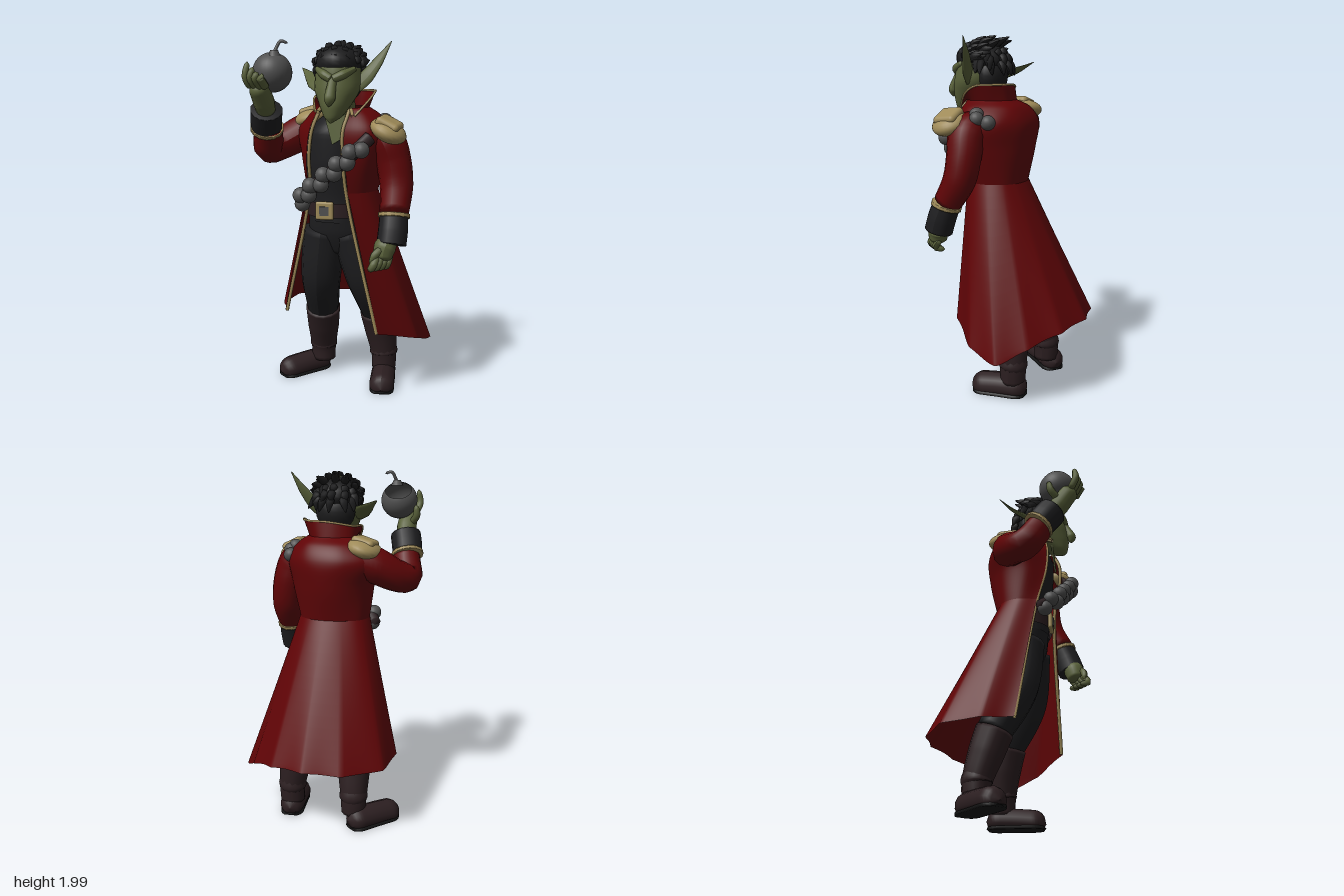
import * as THREE from 'three';
import { mergeVertices } from 'three/addons/utils/BufferGeometryUtils.js';
import { RoundedBoxGeometry } from 'three/addons/geometries/RoundedBoxGeometry.js';

const V = (a) => new THREE.Vector3(...a);
const spline = (pts) => new THREE.CatmullRomCurve3(pts.map(V));
const mat = (name, color) => {
  const m = new THREE.MeshStandardMaterial({ color, side: THREE.DoubleSide });
  m.name = name;
  return m;
};

// Smooth surface from a rule fn(u, v); u runs front, -x, back, +x and v runs upward
function surface(fn, nu, nv) {
  const pos = [], idx = [];
  for (let j = 0; j <= nv; j++) for (let i = 0; i <= nu; i++) pos.push(...fn(i / nu, j / nv).toArray());
  for (let j = 0; j < nv; j++) for (let i = 0; i < nu; i++) {
    const a = j * (nu + 1) + i, b = a + 1, c = a + nu + 1, d = c + 1;
    idx.push(a, c, b, b, c, d);
  }
  let g = new THREE.BufferGeometry();
  g.setAttribute('position', new THREE.Float32BufferAttribute(pos, 3));
  g.setIndex(idx);
  g = mergeVertices(g, 1e-5);
  g.computeVertexNormals();
  return g;
}

// Body from elliptical rings [x, y, z, rx, rz]
function loft(rings, nu = 24, nv = 24) {
  const mid = spline(rings.map((r) => r.slice(0, 3))), rad = spline(rings.map((r) => [r[3], r[4], 0]));
  return surface((u, v) => {
    const c = mid.getPoint(v), r = rad.getPoint(v), a = u * Math.PI * 2;
    return c.add(V([-r.x * Math.sin(a), 0, r.y * Math.cos(a)]));
  }, nu, nv);
}

// Sheet through rows of points
function sheet(rows, nu, nv, fold = () => 1) {
  const curves = rows.map(spline);
  return surface((u, v) => {
    const p = new THREE.CatmullRomCurve3(curves.map((c) => c.getPoint(u))).getPoint(v), f = fold(u, v);
    return V([p.x * f, p.y, p.z * f]);
  }, nu, nv);
}

// Closed tube with a radius per path point; can be squashed along a direction, clamped in height or rounded at the ends
function limb(pts, radii, { flat, k = 0.4, lo = -9, hi = 9, seg = 24, sides = 14, round = 0 } = {}) {
  const path = spline(pts), g = new THREE.TubeGeometry(path, seg, 1, sides), p = g.attributes.position;
  const n = flat && V(flat).normalize();
  for (let i = 0; i <= seg; i++) {
    const c = path.getPointAt(i / seg), t = path.getUtoTmapping(i / seg) * (radii.length - 1);
    const a = Math.min(Math.floor(t), radii.length - 2), end = Math.min(i, seg - i) / seg;
    const cap = end < round ? Math.sqrt(1 - (1 - end / round) ** 2) : 1;
    const r = end === 0 ? 0 : cap * THREE.MathUtils.lerp(radii[a], radii[a + 1], t - a);
    for (let j = 0; j <= sides; j++) {
      const q = i * (sides + 1) + j, d = new THREE.Vector3().fromBufferAttribute(p, q).sub(c).multiplyScalar(r);
      if (n) d.addScaledVector(n, (k - 1) * d.dot(n));
      d.add(c);
      p.setXYZ(q, d.x, THREE.MathUtils.clamp(d.y, lo, hi), d.z);
    }
  }
  g.computeVertexNormals();
  return g;
}

export function createModel() {
  const model = new THREE.Group();
  const red = mat('red coat', 0x5f0406), gold = mat('gold trim', 0x9f8b59), skin = mat('green skin', 0x59613a);
  const hair = mat('black hair', 0x1c1c1d), cloth = mat('dark cloth', 0x1e1e20), boot = mat('boot leather', 0x2c1f21);
  const iron = mat('iron', 0x505050), sole = mat('black sole', 0x151515);
  const add = (name, geo, m, pos, parent = model) => {
    const o = new THREE.Mesh(geo, m);
    o.name = name;
    if (pos) o.position.set(...pos);
    parent.add(o);
    return o;
  };
  const ball = (name, r, m, pos, scale = [1, 1, 1]) => {
    const o = add(name, new THREE.SphereGeometry(r, 20, 14), m, pos);
    o.scale.set(...scale);
    return o;
  };

  // Coat rows run from the right front edge round the back to the left front edge
  const level = (y, pts) => pts.map(([x, z]) => [x, y, z]);
  const waist = level(1.19, [[-.19, .16], [-.215, .06], [-.18, -.03], [-.08, -.08], [.02, -.09], [.1, -.07], [.16, -.02], [.185, .07], [.145, .18], [.05, .24]]);
  const hem = [[-.36, .45, .06], [-.415, .44, -.1], [-.375, .43, -.31], [-.17, .43, -.445], [.04, .44, -.475], [.24, .42, -.4], [.39, .36, -.26], [.482, .285, -.11], [.42, .34, .07], [.22, .41, .24]];
  const upper = [
    waist,
    level(1.38, [[-.18, .21], [-.235, .1], [-.21, -.03], [-.1, -.115], [.02, -.13], [.13, -.09], [.21, 0], [.24, .12], [.16, .25], [.04, .275]]),
    level(1.52, [[-.16, .22], [-.25, .1], [-.25, -.05], [-.11, -.13], [.02, -.135], [.13, -.1], [.23, 0], [.26, .15], [.18, .26], [.04, .28]]),
    level(1.6, [[-.13, .21], [-.19, .1], [-.2, -.01], [-.09, -.085], [.03, -.09], [.12, -.06], [.18, .02], [.2, .14], [.15, .22], [.06, .25]]),
    level(1.64, [[-.11, .2], [-.13, .1], [-.12, .02], [-.05, -.02], [.03, -.03], [.09, -.01], [.13, .05], [.14, .13], [.12, .19], [.07, .23]]),
  ];
  const collarTop = [[-.12, 1.62, .25], [-.15, 1.69, .14], [-.12, 1.7, .03], [-.05, 1.715, -.01], [.03, 1.725, -.02], [.1, 1.725, -.01], [.16, 1.725, .05], [.175, 1.72, .13], [.155, 1.68, .2], [.09, 1.6, .26]];
  const folds = (u, v) => 1 - 0.04 * (1 - v) * Math.abs(Math.sin(u * Math.PI * 9));
  add('coatSkirt', sheet([hem, waist], 108, 16, folds), red);
  add('coatBody', sheet(upper, 60, 30), red);
  add('collar', sheet([upper[4], collarTop], 40, 4), red);
  for (const [i, dx, dz] of [[0, .012, 0], [9, -.01, -.006]]) {
    const edge = [hem, ...upper, collarTop].map((row) => V(row[i]).add(V([dx, 0, dz])));
    add('frontTrim', new THREE.TubeGeometry(new THREE.CatmullRomCurve3(edge), 60, .01, 6), gold);
  }
  add('collarTrim', new THREE.TubeGeometry(spline(collarTop), 40, .006, 6), gold);

  // Vest, hips, belt and open neckline
  add('vest', loft([[-.04, 1.02, .09, .15, .12], [-.04, 1.15, .08, .16, .13], [-.04, 1.35, .08, .17, .16], [-.03, 1.5, .08, .17, .165], [0, 1.62, .08, .08, .09]]), cloth);
  add('hips', loft([[-.02, .8, .06, .01, .01], [-.02, .84, .06, .12, .09], [-.03, .96, .07, .17, .125], [-.04, 1.1, .08, .16, .13]]), cloth);
  add('belt', loft([[-.04, 1.05, .085, .168, .14], [-.04, 1.13, .085, .168, .14]], 32, 2), boot);
  add('buckle', new RoundedBoxGeometry(.1, .1, .025, 3, .012), gold, [-.08, 1.09, .225]);
  add('buckleCentre', new THREE.BoxGeometry(.05, .05, .008), iron, [-.08, 1.09, .239]);
  add('neck', limb([[0, 1.5, .1], [0, 1.6, .14], [0, 1.72, .18]], [.09, .075, .075]), skin);
  const v = new THREE.Shape([[-.075, .16], [-.03, 0], [.02, .03], [.04, .16]].map((p) => new THREE.Vector2(...p)));
  add('openNeckline', new THREE.ExtrudeGeometry(v, { depth: .009, bevelEnabled: false }), skin, [0, 1.45, .25]).rotation.x = -.08;

  // Head, with brow, long nose and pointed ears
  add('head', loft([[-.025, 1.565, .31, .003, .003], [-.02, 1.595, .28, .045, .05], [-.015, 1.66, .235, .085, .105], [-.01, 1.75, .2, .122, .13], [-.01, 1.84, .18, .118, .135], [-.01, 1.92, .17, .08, .1], [-.01, 1.96, .17, .003, .003]]), skin);
  add('nose', limb([[-.01, 1.81, .3], [-.015, 1.75, .33], [-.02, 1.69, .355], [-.025, 1.65, .355]], [.02, .024, .03, .016], { round: .25 }), skin);
  for (const s of [-1, 1]) {
    add('brow', limb([[-.015, 1.785, .32], [s * .05 - .01, 1.81, .305], [s * .1 - .01, 1.84, .245]], [.022, .024, .014]), skin);
    ball('cheek', .05, skin, [s * .055 - .013, 1.725, .25], [1, .8, 1]);
  }
  add('leftEar', limb([[.08, 1.74, .2], [.14, 1.8, .19], [.2, 1.88, .17], [.265, 1.98, .155]], [.036, .04, .027, .002], { flat: [-.3, .1, 1], k: .3 }), skin);
  add('rightEar', limb([[-.1, 1.74, .17], [-.15, 1.77, .11], [-.2, 1.8, .03], [-.265, 1.845, -.045]], [.042, .048, .032, .002], { flat: [.25, -.74, -.55], k: .3 }), skin);

  // Swept-back hair: a cap with overlapping curved locks
  const cap = ball('hairCap', 1, hair, [-.01, 1.86, .17], [.122, .095, .15]);
  cap.rotation.x = -.1;
  ball('napeHair', 1, hair, [-.005, 1.77, .11], [.112, .11, .085]);
  let seed = 7;
  const rnd = () => (seed = (seed * 16807) % 2147483647) / 2147483647;
  for (let row = 0; row < 8; row++) for (let i = 0; i < 7; i++) {
    const a = (i - 3) * .46 + (rnd() - .5) * .25, b = -1.15 + row * .4;
    const n = V([Math.sin(a), Math.cos(a) * Math.cos(b), -Math.cos(a) * Math.sin(b)]);
    const root = V([-.01, 1.855, .165]).add(n.clone().multiply(V([.108, .085, .14])));
    const along = V([(rnd() - .5) * .5, row > 4 ? -.8 : .15, row > 4 ? -.1 : -1]).normalize();
    const mid = root.clone().addScaledVector(n, .02).addScaledVector(along, .03);
    const tip = mid.clone().addScaledVector(along, .05).addScaledVector(n, rnd() * .02);
    add('hairLock', limb([root, mid, tip].map((p) => p.toArray()), [.024, .022, .003], { seg: 8, sides: 6 }), hair);
  }

  // Arms: sleeve, cuff, gold cuff edge and hand
  add('leftSleeve', limb([[.17, 1.53, .12], [.24, 1.47, .15], [.28, 1.36, .15], [.3, 1.23, .17], [.3, 1.08, .255]], [.08, .1, .095, .09, .075]), red);
  add('leftCuff', limb([[.3, 1.085, .25], [.3, 1.01, .28], [.295, .935, .305]], [.076, .079, .079]), cloth);
  add('leftCuffTrim', limb([[.3, 1.1, .245], [.3, 1.07, .255]], [.085, .085], { seg: 6 }), gold);
  add('rightSleeve', limb([[-.13, 1.53, 0], [-.25, 1.49, .02], [-.36, 1.43, .07], [-.41, 1.415, .13], [-.4, 1.48, .18], [-.385, 1.55, .22]], [.1, .1, .088, .085, .08, .076]), red);
  add('rightCuff', limb([[-.4, 1.53, .205], [-.39, 1.58, .24], [-.375, 1.635, .28]], [.083, .085, .085]), cloth);
  add('rightCuffTrim', limb([[-.402, 1.518, .195], [-.396, 1.542, .212]], [.09, .09], { seg: 6 }), gold);
  add('leftPalm', limb([[.295, .98, .295], [.265, .93, .32], [.25, .86, .335]], [.045, .06, .048], { round: .2 }), skin);
  add('rightPalm', limb([[-.375, 1.6, .27], [-.375, 1.67, .32], [-.385, 1.77, .4]], [.048, .056, .05], { round: .2 }), skin);
  const finger = (pts) => add('finger', limb(pts, [.021, .021, .013], { seg: 10, sides: 8, round: .15 }), skin);
  for (let i = 0; i < 4; i++) {
    const dx = i * .028, dz = i * .022;
    finger([[.29 - dx * .7, .89, .3 + dz], [.275 - dx * .8, .835, .335 + dz], [.25 - dx * .7, .82, .29 + dz]]);
    finger([[-.415 + dx, 1.74, .385 + dz * .3], [-.435 + dx, 1.8, .42 + dz * .45], [-.425 + dx * 1.1, 1.875 - dx, .415 + dz * .3]]);
  }
  finger([[.27, .94, .34], [.22, .9, .38], [.2, .85, .385]]);
  finger([[-.4, 1.69, .32], [-.435, 1.74, .28], [-.43, 1.8, .27]]);

  // Shoulder pads: position, tilt, brim depth
  for (const [pos, tilt, depth] of [[[.262, 1.545, .24], -.45, .1], [[-.188, 1.597, .012], .3, .126]]) {
    const pad = new THREE.Group();
    pad.name = 'epaulette';
    pad.position.set(...pos);
    pad.rotation.set(0.08, -.15, tilt);
    add('padBrim', new THREE.SphereGeometry(1, 28, 14), gold, [-.01 * Math.sign(tilt), -.018, 0], pad).scale.set(.1, .055, depth);
    add('padTop', new RoundedBoxGeometry(.13, .06, .135, 4, .024), gold, [0, .015, 0], pad);
    model.add(pad);
  }

  // Bandolier of small bombs across the chest, with more on the shoulder
  const strap = [[-.23, 1.12, .17], [-.17, 1.19, .245], [-.04, 1.3, .285], [.1, 1.42, .315], [.18, 1.5, .27]];
  add('bandolier', limb(strap, strap.map(() => .035), { seg: 60, flat: [.2, 0, 1], k: .6 }), boot);
  const run = spline(strap);
  for (let i = 0; i < 11; i++) {
    const p = run.getPointAt(.04 + i * .082), s = i % 2 ? 1 : -1;
    ball('smallBomb', .043, iron, [p.x - s * .012, p.y + s * .012, p.z + .022]);
  }
  for (const p of [[.225, 1.57, .1], [.235, 1.53, .03], [.25, 1.55, .09]]) ball('shoulderBomb', .04, iron, p);

  // Held bomb, open at the upper back, with a curled fuse
  const shell = add('heldBomb', new THREE.SphereGeometry(.102, 32, 20, 0, Math.PI * 2, .8, Math.PI - .8), iron, [-.33, 1.82, .307]);
  shell.rotation.x = -.62;
  add('bombNozzle', new THREE.CylinderGeometry(.02, .034, .03, 14), iron, [-.31, 1.915, .335]);
  add('fuse', limb([[-.31, 1.91, .335], [-.3, 1.945, .325], [-.28, 1.975, .315], [-.245, 1.965, .31]], [.011, .009, .009, .007], { seg: 14, sides: 8 }), iron);

  // Legs and boots: hip, knee, ankle, heel and toe of each side
  const legs = [
    { side: 'right', hip: [-.11, .98, .07], knee: [-.145, .68, .04], shin: [-.165, .42, -.09], ankle: [-.18, .17, -.16], heel: [-.165, .05, -.24], toe: [-.412, .03, .005] },
    { side: 'left', hip: [.04, .98, .08], knee: [.12, .68, .05], shin: [.175, .42, -.08], ankle: [.205, .17, -.1], heel: [.2, .05, -.185], toe: [.225, .03, .14] },
  ];
  for (const { side, hip, knee, shin, ankle, heel, toe } of legs) {
    add(side + 'Trouser', limb([hip, knee, shin], [.125, .115, .092]), cloth);
    const top = V(shin).lerp(V(knee), .15).toArray(), low = V(shin).lerp(V(ankle), .4).toArray();
    add(side + 'BootShaft', limb([top, low, ankle, [ankle[0], .06, ankle[2]]], [.104, .095, .076, .07]), boot);
    add(side + 'AnkleFold', limb([low, ankle, [ankle[0], .13, ankle[2] + .01]], [.06, .086, .07], { round: .3 }), boot);
    const mid = V(heel).lerp(V(toe), .5).setY(.045).toArray();
    add(side + 'BootFoot', limb([heel, mid, toe], [.07, .072, .074], { lo: .012, round: .22 }), boot);
    add(side + 'Sole', limb([heel, mid, toe].map(([x, , z]) => [x, .01, z]), [.07, .07, .074], { lo: 0, hi: .016, round: .22 }), sole);
  }
  return model;
}
